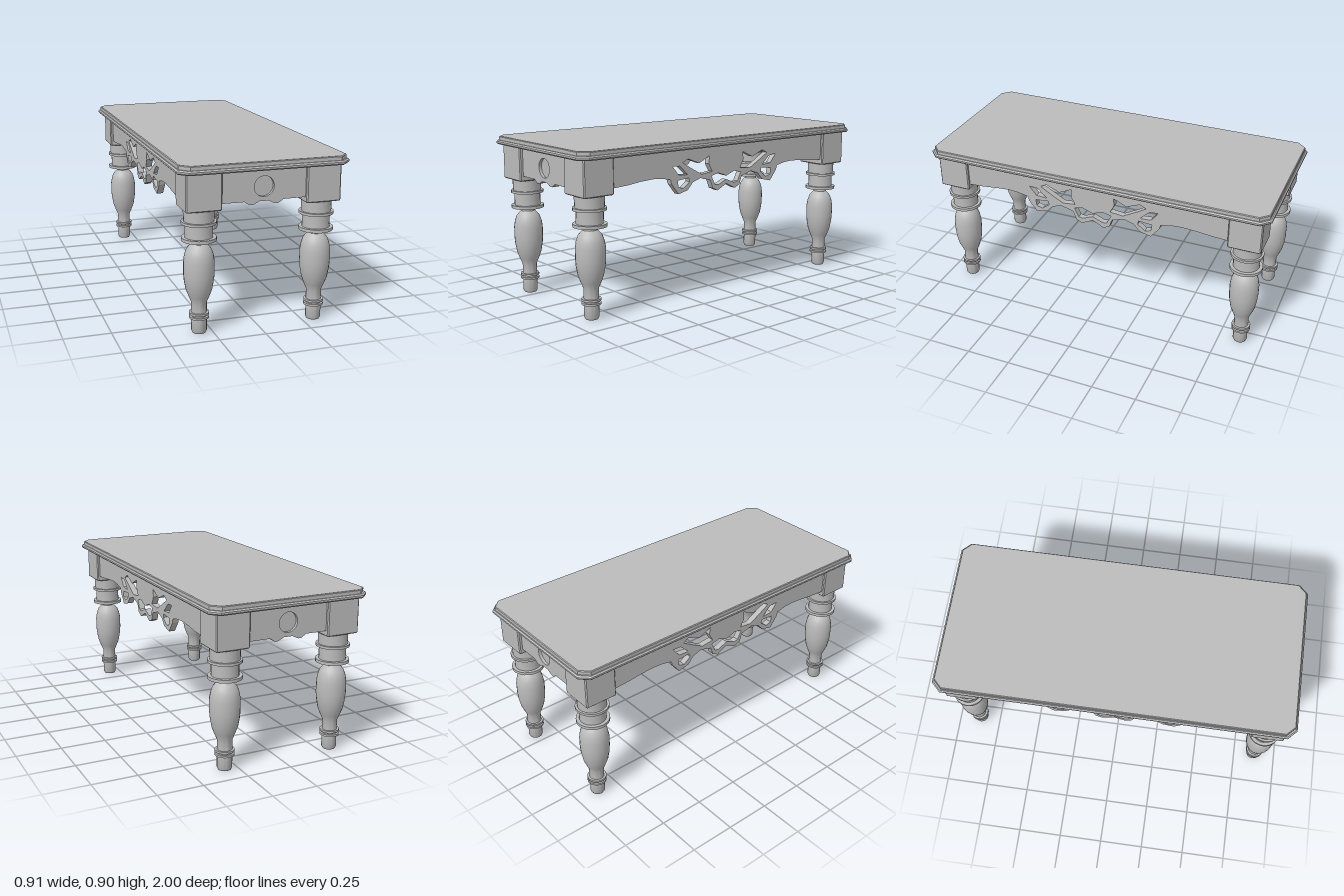
import * as THREE from 'three';
import { toCreasedNormals } from 'three/addons/utils/BufferGeometryUtils.js';

const grey = new THREE.MeshStandardMaterial({ color: 0xbcbcbc });
grey.name = 'plain grey';

function part(name, geometry, parent) {
  const mesh = new THREE.Mesh(geometry, grey);
  mesh.name = name;
  parent.add(mesh);
  return mesh;
}

const toShape = (pts) => new THREE.Shape(pts.map(([x, y]) => new THREE.Vector2(x, y)));
const mirrored = (pts) => pts.map(([x, y]) => [-x, y]).reverse();

// Horizontal slab with cut corners and chamfered rims, from y0 to y1
function slab(hx, hz, cut, y0, y1, bevel) {
  const x = hx - bevel, z = hz - bevel;
  const shape = toShape([
    [x, -z + cut], [x, z - cut], [x - cut, z], [-x + cut, z],
    [-x, z - cut], [-x, -z + cut], [-x + cut, -z], [x - cut, -z],
  ]);
  const g = new THREE.ExtrudeGeometry(shape, {
    depth: y1 - y0 - 2 * bevel, bevelEnabled: true, bevelSegments: 1,
    bevelSize: bevel, bevelThickness: bevel,
  });
  return g.rotateX(-Math.PI / 2).translate(0, y0 + bevel, 0);
}

// Upright board centred on its own thickness
function board(shape, thickness) {
  return new THREE.ExtrudeGeometry(shape, { depth: thickness, bevelEnabled: false, curveSegments: 20 })
    .translate(0, 0, -thickness / 2);
}

// Carved long rail, drawn for one half and mirrored
function longRailShape() {
  const half = [
    [0, 0.63], [0.065, 0.598], [0.1, 0.615], [0.118, 0.662], [0.19, 0.682],
    [0.245, 0.664], [0.28, 0.625], [0.345, 0.61], [0.393, 0.67], [0.4, 0.695],
    [0.46, 0.707], [0.52, 0.711], [0.6, 0.706], [0.68, 0.697], [0.8, 0.69], [0.8, 0.86],
  ];
  const shape = toShape([...half, ...mirrored(half.slice(1))]);
  const sideHoles = [
    [[0.385, 0.765], [0.335, 0.762], [0.28, 0.71], [0.345, 0.715]],
    [[0.315, 0.778], [0.28, 0.797], [0.2, 0.765], [0.125, 0.8], [0.13, 0.755],
      [0.105, 0.71], [0.18, 0.702], [0.25, 0.74]],
    [[0.35, 0.685], [0.272, 0.692], [0.268, 0.67], [0.31, 0.638], [0.345, 0.648]],
  ];
  const arch = [[0, 0.675], [0.06, 0.697], [0.11, 0.685], [0.085, 0.635], [0.06, 0.63], [0, 0.655]];
  const holes = [...sideHoles, ...sideHoles.map(mirrored), [...arch, ...mirrored(arch.slice(1, 5))]];
  shape.holes = holes.map((h) => toShape(h));
  return shape;
}

// Short rail with scalloped lower edge and a round opening
function shortRailShape() {
  const half = [
    [0, 0.688], [0.025, 0.688], [0.05, 0.675], [0.062, 0.671], [0.078, 0.672],
    [0.105, 0.69], [0.24, 0.69], [0.24, 0.86],
  ];
  const shape = toShape([...half, ...mirrored(half.slice(1))]);
  shape.holes = [new THREE.Path().absarc(0, 0.763, 0.053, 0, Math.PI * 2, true)];
  return shape;
}

// Turned leg profile: radius, height
const legProfile = [
  [0, 0], [0.034, 0], [0.04, 0.012], [0.04, 0.08], [0.052, 0.08], [0.052, 0.091],
  [0.04, 0.091], [0.04, 0.101], [0.052, 0.101], [0.052, 0.112], [0.04, 0.112],
  [0.04, 0.165], [0.054, 0.198], [0.068, 0.235], [0.077, 0.285], [0.08, 0.32],
  [0.08, 0.385], [0.074, 0.42], [0.064, 0.448], [0.05, 0.465], [0.038, 0.477],
  [0.036, 0.495], [0.09, 0.495], [0.09, 0.512], [0.072, 0.512], [0.072, 0.582],
  [0.09, 0.582], [0.09, 0.596], [0.078, 0.596], [0.08, 0.665],
];

export function createModel() {
  const table = new THREE.Group();
  table.name = 'table';

  // Top in two steps
  part('topMoulding', slab(0.455, 1, 0.045, 0.855, 0.878, 0.007), table);
  part('tabletop', slab(0.443, 0.988, 0.045, 0.874, 0.9, 0.004), table);

  // Four corner legs
  const legGeometry = toCreasedNormals(
    new THREE.LatheGeometry(legProfile.map(([r, y]) => new THREE.Vector2(r, y)), 24), 0.6);
  const blockGeometry = slab(0.0935, 0.0915, 0.003, 0.66, 0.86, 0.005);
  for (const sx of [-1, 1]) {
    for (const sz of [-1, 1]) {
      const leg = new THREE.Group();
      leg.name = 'leg';
      leg.position.set(sx * 0.318, 0, sz * 0.867);
      part('turnedLeg', legGeometry, leg);
      part('cornerBlock', blockGeometry, leg);
      table.add(leg);
    }
  }

  // Rails between the blocks
  const longRail = board(longRailShape(), 0.035).rotateY(Math.PI / 2);
  const shortRail = board(shortRailShape(), 0.04);
  const disc = new THREE.CylinderGeometry(0.054, 0.054, 0.008, 32).rotateX(Math.PI / 2);
  for (const s of [-1, 1]) {
    part('longRail', longRail, table).position.x = s * 0.378;
    part('shortRail', shortRail, table).position.z = s * 0.92;
    part('recessPanel', disc, table).position.set(0, 0.763, s * 0.92);
  }
  return table;
}
